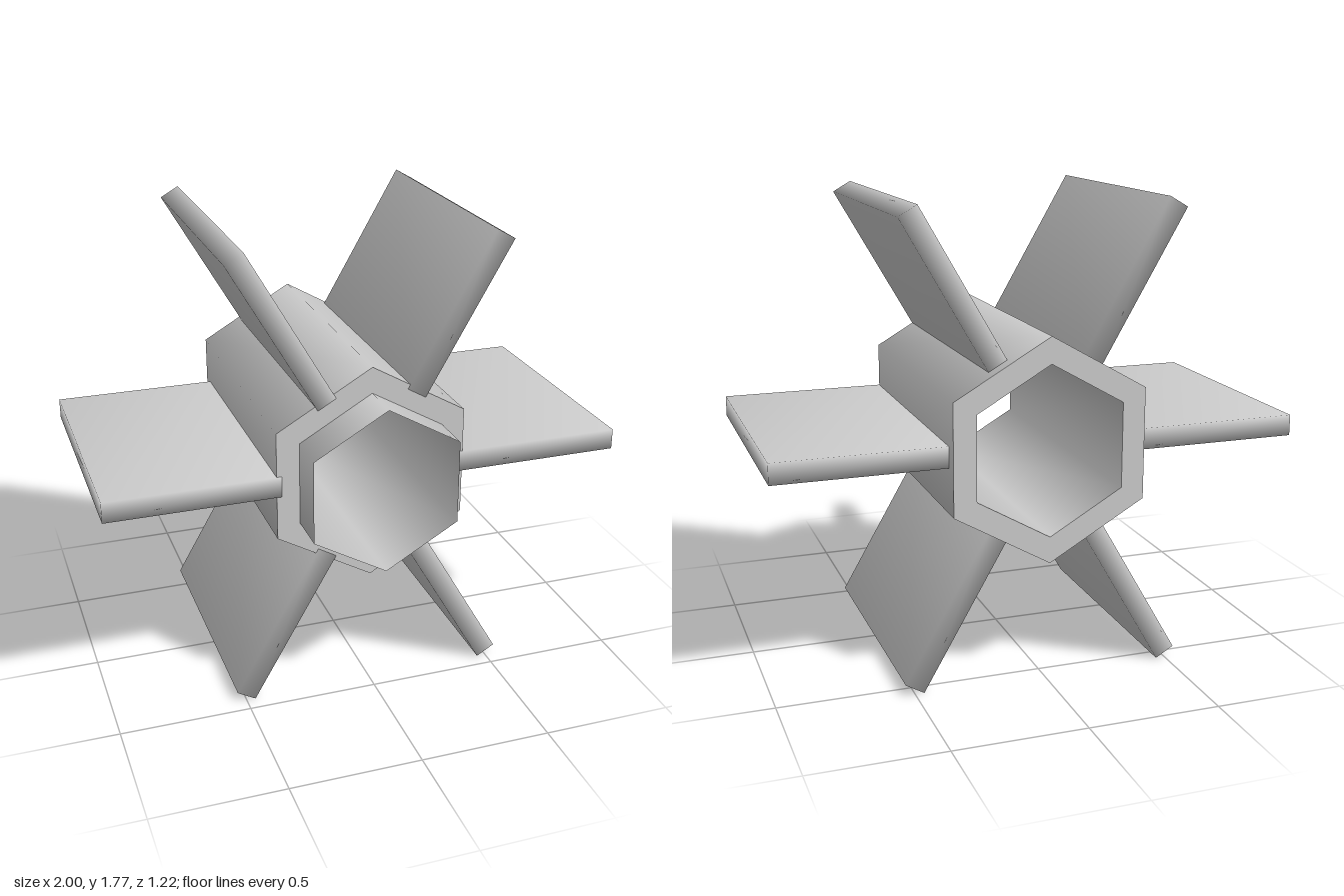
import * as THREE from 'three';
import { mergeVertices } from 'three/addons/utils/BufferGeometryUtils.js';

const CENTER_Y = 0.89, OUTER = 0.42, BORE = 0.32;
const BACK = -0.61, SHOULDER = 0.44, FRONT = 0.61;

const material = new THREE.MeshStandardMaterial({ color: 0xcccccc });

// Hexagonal strip along z between two [radius, z] points; rising z faces outward
function hexStrip(name, from, to) {
  const points = [new THREE.Vector2(...from), new THREE.Vector2(...to)];
  const geometry = new THREE.LatheGeometry(points, 6).rotateX(Math.PI / 2);
  const mesh = new THREE.Mesh(geometry, material);
  mesh.name = name;
  return mesh;
}

// Flat paddle with softly shaded edges, reaching out along +x
function paddleGeometry() {
  const box = new THREE.BoxGeometry(0.655, 0.08, 1);
  box.deleteAttribute('normal');
  box.deleteAttribute('uv');
  const soft = mergeVertices(box);
  soft.computeVertexNormals();
  return soft.translate(0.6725, 0, -0.057);
}

export function createModel() {
  const model = new THREE.Group();
  model.name = 'paddleWheel';
  model.position.y = CENTER_Y;

  // Hub: thick hexagonal sleeve with a thin hexagonal collar at the front
  const hub = new THREE.Group();
  hub.name = 'hub';
  hub.add(
    hexStrip('sleeve', [OUTER, BACK], [OUTER, SHOULDER]),
    hexStrip('frontShoulder', [OUTER, SHOULDER], [BORE, SHOULDER]),
    hexStrip('collar', [BORE, SHOULDER], [BORE, FRONT]),
    hexStrip('bore', [BORE, FRONT], [BORE, BACK]),
    hexStrip('backRim', [BORE, BACK], [OUTER, BACK])
  );
  model.add(hub);

  // Six paddles, one on each flat of the hub
  const geometry = paddleGeometry();
  for (let i = 0; i < 6; i++) {
    const paddle = new THREE.Mesh(geometry, material);
    paddle.name = `paddle${i + 1}`;
    paddle.rotation.z = (i * Math.PI) / 3;
    model.add(paddle);
  }

  const root = new THREE.Group();
  root.add(model);
  return root;
}
